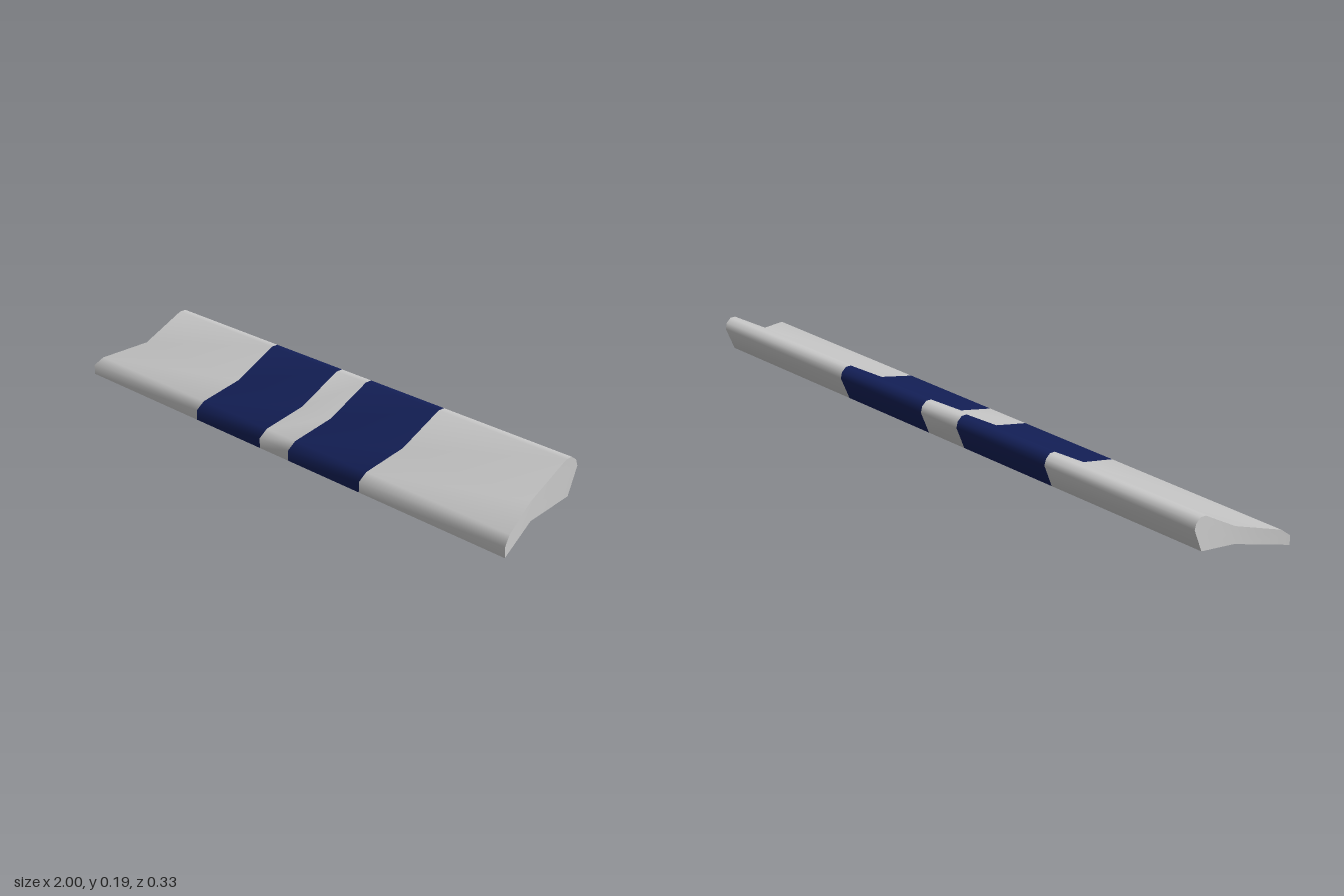
import * as THREE from 'three';
import { toCreasedNormals } from 'three/addons/utils/BufferGeometryUtils.js';

// Wing cross-section as [z, y]: nose, up over the top, rear lip, underside.
const PROFILE = [
  [0.163, 0], [0.163, 0.03], [0.137, 0.054], [0.008, 0.097], [-0.12, 0.182],
  [-0.14, 0.185], [-0.157, 0.174], [-0.163, 0.155], [-0.13, 0.077], [0.008, 0.041],
];

// Half-width of the wing: flares out toward the front edge.
function halfWidth(z) {
  return z > 0.008
    ? 0.925 + 0.075 * (z - 0.008) / 0.155
    : 0.925 + 0.01 * (z - 0.008) / 0.171;
}

// Slice of the wing between x0 and x1; +-1 means the flared tip with its end cap.
function slice(name, x0, x1, material) {
  const positions = [];
  const n = PROFILE.length;
  const point = (x, i) => {
    const [z, y] = PROFILE[i % n];
    return [Math.abs(x) === 1 ? x * halfWidth(z) : x, y, z];
  };
  const triangle = (a, b, c) => positions.push(...a, ...b, ...c);

  // skin
  for (let i = 0; i < n; i++) {
    triangle(point(x0, i), point(x1, i), point(x1, i + 1));
    triangle(point(x0, i), point(x1, i + 1), point(x0, i + 1));
  }
  // end caps, fanned from the underside point below the bend
  for (let i = 0; i < n - 2; i++) {
    if (x0 === -1) triangle(point(x0, n - 1), point(x0, i), point(x0, i + 1));
    if (x1 === 1) triangle(point(x1, n - 1), point(x1, i + 1), point(x1, i));
  }

  const geometry = new THREE.BufferGeometry();
  geometry.setAttribute('position', new THREE.Float32BufferAttribute(positions, 3));
  const mesh = new THREE.Mesh(toCreasedNormals(geometry, 0.85), material);
  mesh.name = name;
  return mesh;
}

export function createModel() {
  const group = new THREE.Group();
  group.name = 'spoiler';
  const body = new THREE.MeshStandardMaterial({ color: 0xcccccc });
  const stripe = new THREE.MeshStandardMaterial({ color: 0x142058 });

  group.add(
    slice('rightPanel', -1, -0.4, body),
    slice('rightStripe', -0.4, -0.07, stripe),
    slice('centrePanel', -0.07, 0.07, body),
    slice('leftStripe', 0.07, 0.4, stripe),
    slice('leftPanel', 0.4, 1, body),
  );
  return group;
}
